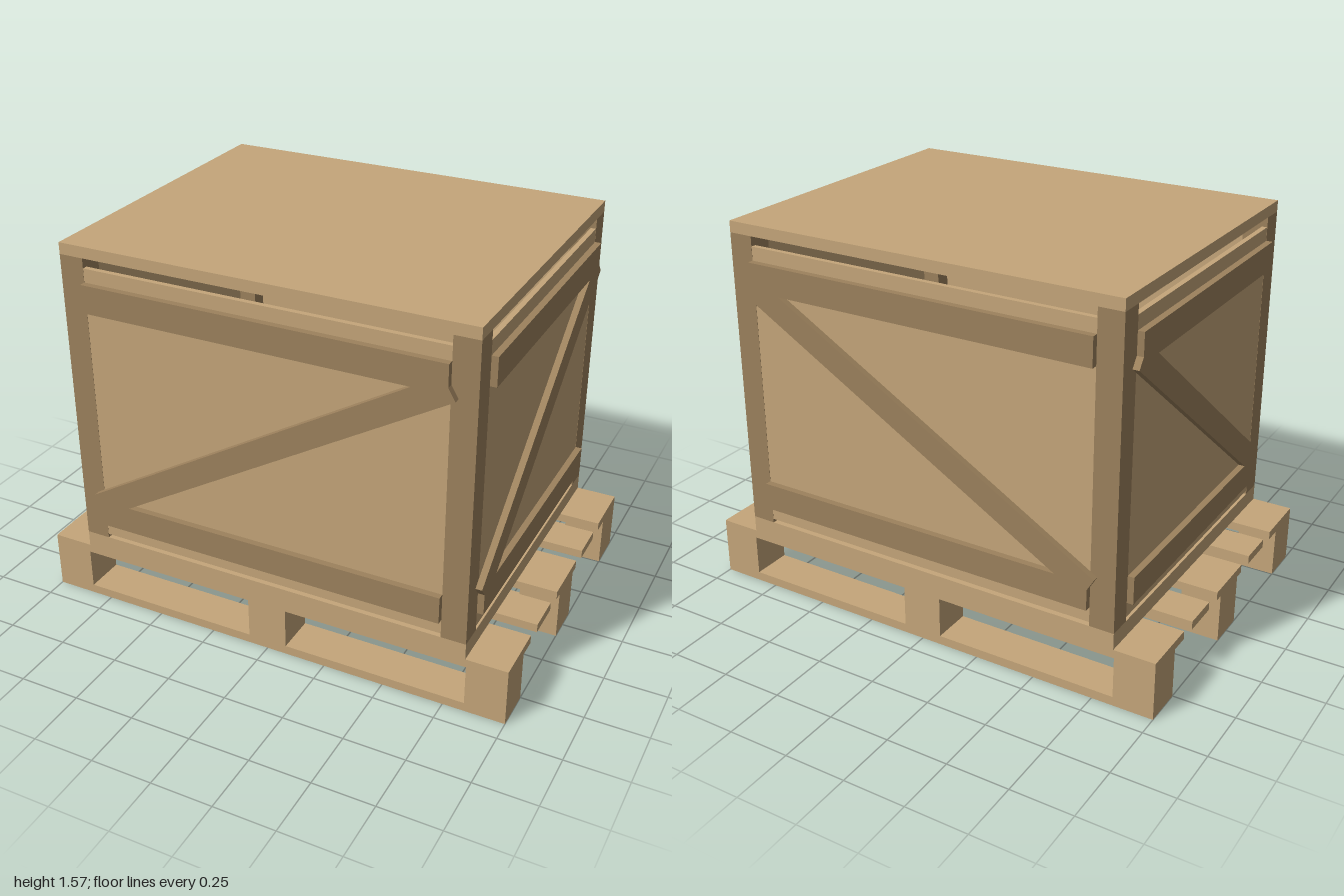
import * as THREE from 'three';

const lightWood = new THREE.MeshStandardMaterial({ color: 0xc5a67a });
lightWood.name = 'lightWood';
const darkWood = new THREE.MeshStandardMaterial({ color: 0x9d825d });
darkWood.name = 'darkWood';

// Box given by its min and max on each axis
function board(parent, name, material, [x0, x1], [y0, y1], [z0, z1]) {
  const mesh = new THREE.Mesh(new THREE.BoxGeometry(x1 - x0, y1 - y0, z1 - z0), material);
  mesh.position.set((x0 + x1) / 2, (y0 + y1) / 2, (z0 + z1) / 2);
  mesh.name = name;
  parent.add(mesh);
  return mesh;
}

// One crate wall facing +z: thin panel flush with the posts, two rails and a diagonal brace
function wall(name, halfWidth, face, braceLength, angle, rise) {
  const group = new THREE.Group();
  group.name = name;
  const span = [-halfWidth, halfWidth];
  const depth = [face, face + 0.026];
  board(group, 'panel', lightWood, span, [0.323, 1.487], [face - 0.022, face - 0.001]);
  board(group, 'lowerRail', darkWood, span, [0.385, 0.497], depth);
  board(group, 'upperRail', darkWood, span, [1.318, 1.432], depth);
  const brace = board(group, 'diagonalBrace', darkWood,
    [-braceLength / 2, braceLength / 2], [0.858, 0.958], depth);
  brace.rotation.z = rise * angle;
  return group;
}

function createPallet() {
  const pallet = new THREE.Group();
  pallet.name = 'pallet';
  // Deck boards, alternating wide and narrow
  for (const [z, w] of [[-0.545, 0.24], [-0.275, 0.155], [0, 0.24], [0.275, 0.155], [0.545, 0.24]])
    board(pallet, 'deckBoard', lightWood, [-1, 1], [0.205, 0.24], [z - w / 2, z + w / 2]);
  // Three runners, each with three blocks
  for (const z of [-0.583, 0, 0.583]) {
    const depth = [z - 0.082, z + 0.082];
    board(pallet, 'runner', lightWood, [-1, 1], [0, 0.037], depth);
    for (const x of [-0.918, 0, 0.918])
      board(pallet, 'block', lightWood, [x - 0.082, x + 0.082], [0.037, 0.205], depth);
  }
  return pallet;
}

function createCrate() {
  const crate = new THREE.Group();
  crate.name = 'crate';
  board(crate, 'floor', lightWood, [-0.832, 0.832], [0.24, 0.307], [-0.665, 0.665]);
  board(crate, 'lid', lightWood, [-0.832, 0.832], [1.527, 1.573], [-0.665, 0.665]);
  // Corner posts
  for (const sx of [-1, 1]) for (const sz of [-1, 1]) {
    const x = sx * 0.782, z = sz * 0.617;
    board(crate, 'cornerPost', darkWood, [x - 0.05, x + 0.05], [0.307, 1.527], [z - 0.048, z + 0.048]);
  }
  // Opposite walls mirror each other's braces
  const long = THREE.MathUtils.degToRad(30.5), short = THREE.MathUtils.degToRad(37.5);
  const front = wall('frontWall', 0.732, 0.665, 1.705, long, 1);
  const back = wall('backWall', 0.732, 0.665, 1.705, long, -1);
  back.rotation.y = Math.PI;
  const left = wall('leftWall', 0.569, 0.832, 1.432, short, 1);
  left.rotation.y = Math.PI / 2;
  const right = wall('rightWall', 0.569, 0.832, 1.432, short, -1);
  right.rotation.y = -Math.PI / 2;
  crate.add(front, back, left, right);
  return crate;
}

export function createModel() {
  const model = new THREE.Group();
  model.name = 'crateOnPallet';
  model.add(createPallet(), createCrate());
  return model;
}
